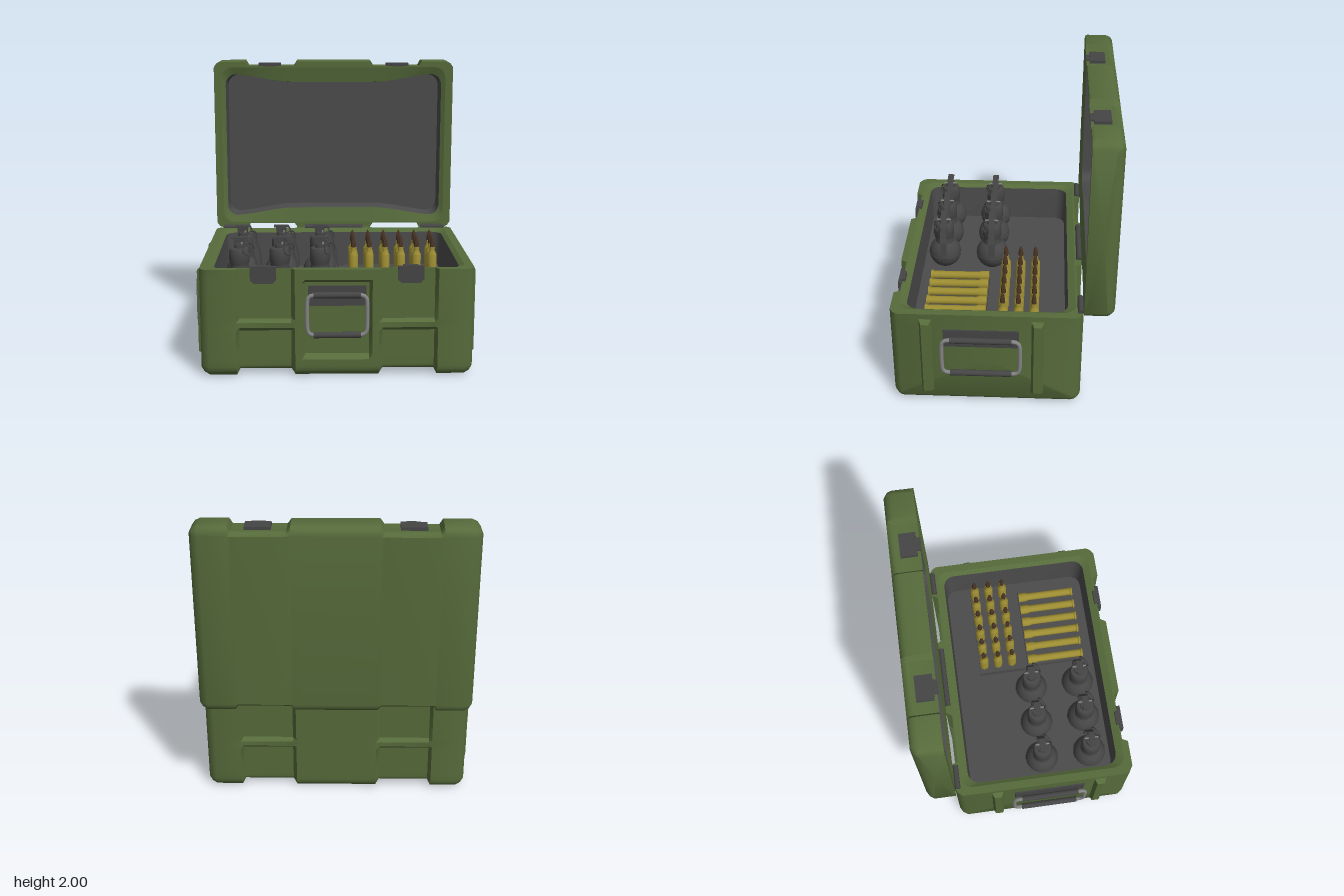
import * as THREE from 'three';
import { toCreasedNormals } from 'three/addons/utils/BufferGeometryUtils.js';

const mat = (color) => new THREE.MeshStandardMaterial({ color, side: THREE.DoubleSide });
const GREEN = mat(0x566b3b), LINER = mat(0x4b4b4c), DARK = mat(0x454546), STEEL = mat(0x858585);
const BRASS = mat(0x9c8c32), TIP = mat(0x4a3424);

const ramp = (v, a, b) => Math.min(1, Math.max(0, (v - a) / (b - a)));
const strip = (x) => ramp(Math.abs(x), 0.275, 0.3) * ramp(Math.abs(x), 0.66, 0.64);

function add(parent, name, geo, material, x = 0, y = 0, z = 0) {
  const m = new THREE.Mesh(geo, material);
  m.name = name;
  m.position.set(x, y, z);
  parent.add(m);
  return m;
}
const box = (w, h, d) => new THREE.BoxGeometry(w, h, d);
const lathe = (pts, n = 20) =>
  toCreasedNormals(new THREE.LatheGeometry(pts.map((p) => new THREE.Vector2(...p)), n), 0.6);

function buildGeo(verts, index) {
  const g = new THREE.BufferGeometry();
  g.setAttribute('position', new THREE.Float32BufferAttribute(verts.flat(), 3));
  g.setIndex(index);
  return toCreasedNormals(g, 0.6);
}

// Skin between rows of points
function loft(rows, closed) {
  const n = rows[0].length, index = [];
  for (let i = 0; i < rows.length - 1; i++) {
    for (let j = 0; j < (closed ? n : n - 1); j++) {
      const a = i * n + j, b = i * n + ((j + 1) % n), c = a + n, d = b + n;
      index.push(a, b, c, b, d, c);
    }
  }
  return { verts: rows.flat(), index, n };
}

// Rounded rectangle in plan, with points along the long sides so it can be waisted
function ring(hx, hz, r, y, waist = 0) {
  const pts = [];
  const put = (x, z) => {
    const t = ramp(Math.abs(x), 0.78, 0.3), s = t * t * (3 - 2 * t);
    pts.push([x, y, z - Math.sign(z) * waist * s]);
  };
  [[1, 1], [-1, 1], [-1, -1], [1, -1]].forEach(([sx, sz], k) => {
    for (let i = 0; i <= 5; i++) {
      const a = (k + i / 5) * Math.PI / 2;
      put(sx * (hx - r) + r * Math.cos(a), sz * (hz - r) + r * Math.sin(a));
    }
    if (k % 2 === 0) for (let i = 1; i < 16; i++) put(sx * (hx - r) * (1 - i / 8), sz * hz);
  });
  return pts;
}

const planShape = (pts, C = THREE.Shape) => new C(pts.map((p) => new THREE.Vector2(p[0], -p[2])));

// Open-topped moulded shell: U sections along x, inset by the recess rule
function shell(name, { h, hz, r, ys, recess, floor, waist }) {
  const g = new THREE.Group();
  g.name = name;
  const half = [0.21, 0.23, 0.275, 0.3, 0.64, 0.66, 0.84, 0.875, 0.895];
  const xs = [...half.map((x) => -x).reverse(), ...half];
  const base = ys.map((y) => [hz - r, y, 1, 0]);
  for (let i = 1; i <= 5; i++) {
    const a = i / 5 * Math.PI / 2;
    base.push([hz - r, r, Math.cos(a), -Math.sin(a)]);
  }
  const path = [...base, ...base.map(([z, y, nz, ny]) => [-z, y, -nz, ny]).reverse()];
  const rows = xs.map((x) => {
    const edge = 0.05 * ramp(Math.abs(x), 0.84, 0.895) ** 2;
    return path.map(([z, y, nz, ny]) => {
      const d = r - Math.max(edge, recess(x, y, nz));
      return [x, y + ny * d, z + nz * d];
    });
  });
  const { verts, index, n } = loft(rows, false);
  for (const [row, flip] of [[0, true], [xs.length - 1, false]]) {
    const c = verts.push([xs[row], h / 2, 0]) - 1;
    for (let j = 0; j < n; j++) {
      const a = row * n + j, b = row * n + (j + 1) % n;
      index.push(c, flip ? b : a, flip ? a : b);
    }
  }
  add(g, 'outerShell', buildGeo(verts, index), GREEN);

  // Flat rim, sloping lip and lined cavity
  const outline = [...rows.map((p) => p[0]), ...rows.map((p) => p[n - 1]).reverse()];
  const mid = ring(0.84, hz - 0.05, 0.08, h), lip = ring(0.81, hz - 0.1, 0.08, h - 0.02, waist);
  const bottom = ring(0.8, hz - 0.11, 0.08, floor, waist);
  const rim = planShape(outline);
  rim.holes.push(planShape(mid, THREE.Path));
  add(g, 'rim', new THREE.ShapeGeometry(rim).rotateX(-Math.PI / 2), GREEN, 0, h);
  const slope = loft([mid, lip], true), wall = loft([lip, bottom], true);
  add(g, 'lip', buildGeo(slope.verts, slope.index), GREEN);
  add(g, 'linerWall', buildGeo(wall.verts, wall.index), LINER);
  add(g, 'linerFloor', new THREE.ShapeGeometry(planShape(bottom)).rotateX(-Math.PI / 2), LINER, 0, floor);
  return g;
}

// Carry handle facing +z: steel loop, two grips, backing plate
function handle(name, hw, grip, reach) {
  const g = new THREE.Group();
  g.name = name;
  const hy = 0.135, c = 0.04;
  const pts = [];
  for (const [sx, sy, k] of [[1, 1, 0], [-1, 1, 1], [-1, -1, 2], [1, -1, 3]])
    for (let i = 0; i <= 4; i++) {
      const a = (k + i / 4) * Math.PI / 2;
      pts.push(new THREE.Vector3(sx * (hw - c) + c * Math.cos(a), sy * (hy - c) + c * Math.sin(a), reach));
    }
  const curve = new THREE.CatmullRomCurve3(pts, true, 'centripetal');
  add(g, 'loop', new THREE.TubeGeometry(curve, 64, 0.014, 8, true), STEEL);
  for (const s of [1, -1])
    add(g, 'grip', new THREE.CylinderGeometry(0.021, 0.021, grip, 12).rotateZ(Math.PI / 2), DARK, 0, s * hy, reach);
  add(g, 'plate', box(hw * 1.95, 0.135, 0.012), DARK, 0, 0.125, 0.004);
  return g;
}

function grenade() {
  const g = new THREE.Group();
  g.name = 'grenade';
  const prof = [];
  for (let i = 0; i <= 16; i++) {
    const a = -Math.PI / 2 + i / 16 * 2.52;
    prof.push([Math.max(0, 0.116 * Math.cos(a)), 0.566 + 0.116 * Math.sin(a)]);
  }
  add(g, 'body', lathe([...prof, [0.06, 0.7], [0.068, 0.72], [0.068, 0.79], [0.06, 0.81], [0.035, 0.815], [0.035, 0.84], [0, 0.84]], 24), DARK);
  add(g, 'seam', new THREE.TorusGeometry(0.115, 0.004, 6, 24).rotateX(Math.PI / 2), DARK, 0, 0.566);
  add(g, 'fuzeHead', box(0.07, 0.06, 0.036), DARK, 0, 0.85);
  // Bent safety lever
  const top = [[-0.05, 0.888], [0.05, 0.888], [0.085, 0.82], [0.122, 0.7], [0.13, 0.6]];
  const inner = top.map(([x, y], i) => [x - (i > 1 ? 0.01 : 0), y - (i < 2 ? 0.012 : 0.004)]).reverse();
  const s = new THREE.Shape([...top, ...inner].map((p) => new THREE.Vector2(...p)));
  add(g, 'lever', new THREE.ExtrudeGeometry(s, { depth: 0.044, bevelEnabled: false }), DARK, 0, 0, -0.022);
  add(g, 'pin', new THREE.CylinderGeometry(0.006, 0.006, 0.1, 8).rotateX(Math.PI / 2), STEEL, 0.02, 0.85);
  add(g, 'pullRing', new THREE.TorusGeometry(0.042, 0.005, 6, 20), DARK, 0.065, 0.815, 0.045).rotation.y = 0.6;
  return g;
}

export function createModel() {
  const root = new THREE.Group();
  root.name = 'ammunitionCase';

  // Lower case, with side channels split by a rib and a recessed front panel
  const body = shell('case', {
    h: 0.73, hz: 0.635, r: 0.07, floor: 0.45, waist: 0,
    ys: [0.73, 0.66, 0.635, 0.39, 0.37, 0.335, 0.31, 0.15, 0.12, 0.07],
    recess: (x, y, nz) => {
      const rib = Math.min(ramp(y, 0.31, 0.335), ramp(y, 0.39, 0.37));
      const panel = nz > 0.9 ? ramp(Math.abs(x), 0.23, 0.21) * Math.min(ramp(y, 0.12, 0.15), ramp(y, 0.66, 0.635)) : 0;
      return 0.04 * Math.max(strip(x) * (1 - 0.75 * rib), panel);
    },
  });
  body.position.z = 0.095;
  root.add(body);

  // Lid standing open behind
  const lid = shell('lid', {
    h: 0.2, hz: 0.64, r: 0.06, floor: 0.05, waist: 0.06, ys: [0.2, 0.185, 0.06],
    recess: (x, y, nz) => Math.max(0.04 * strip(x) * Math.abs(nz), y > 0.19 ? 0.008 : 0),
  });
  lid.rotation.x = Math.PI / 2;
  lid.position.set(0, 1.36, -0.74);
  root.add(lid);

  // Latches on the case front and lid edge
  for (const x of [-0.48, 0.48]) {
    const s = new THREE.Shape([[-0.085, 0.745], [-0.085, 0.655], [-0.06, 0.632], [0.06, 0.632], [0.085, 0.655], [0.085, 0.745]]
      .map((p) => new THREE.Vector2(...p)));
    add(root, 'latch', new THREE.ExtrudeGeometry(s, { depth: 0.025, bevelEnabled: false }), DARK, x, 0, 0.688);
    add(root, 'latchHook', box(0.1, 0.025, 0.035), DARK, x, 0.735, 0.685);
    add(root, 'lidLatch', box(0.165, 0.022, 0.11), DARK, x, 1.969, -0.615);
    add(root, 'lidLatchTab', box(0.09, 0.018, 0.03), DARK, x, 1.965, -0.548);
  }

  // Hinge barrels
  for (const [x, len] of [[-0.755, 0.17], [0, 0.44], [0.755, 0.17]])
    add(root, 'hinge', new THREE.CylinderGeometry(0.02, 0.02, len, 12).rotateZ(Math.PI / 2), DARK, x, 0.735, -0.522);

  // Handles and tapered side ribs
  const front = handle('frontHandle', 0.195, 0.31, 0.03);
  front.position.set(0, 0.42, 0.69);
  root.add(front);
  for (const side of [1, -1]) {
    const h = handle('sideHandle', 0.258, 0.41, 0.042);
    h.position.set(side * 0.895, 0.42, 0.13);
    h.rotation.y = side * Math.PI / 2;
    root.add(h);
    for (const z of [0.495, -0.245]) {
      const g = box(0.05, 0.62, 0.095), p = g.attributes.position;
      for (let i = 0; i < p.count; i++)
        if (p.getX(i) * side > 0) p.setXYZ(i, p.getX(i), p.getY(i) * 0.9, p.getZ(i) * 0.55);
      g.computeVertexNormals();
      add(root, 'sideRib', g, GREEN, side * 0.905, 0.39, z);
    }
  }

  // Grenades
  for (const x of [-0.65, -0.38, -0.11]) for (const z of [0.11, 0.46]) {
    const g = grenade();
    g.position.set(x, 0, z);
    root.add(g);
  }

  // Upright cartridges in their tray
  add(root, 'cartridgeTray', box(0.7, 0.06, 0.345), LINER, 0.42, 0.475, -0.08);
  const caseGeo = lathe([[0, 0], [0.033, 0], [0.033, 0.18], [0.019, 0.205], [0.019, 0.235], [0, 0.235]], 14);
  const tipGeo = lathe([[0.017, 0], [0.017, 0.025], [0.011, 0.06], [0, 0.085]], 12);
  for (let i = 0; i < 6; i++) for (const z of [-0.215, -0.11, -0.005]) {
    add(root, 'cartridgeCase', caseGeo, BRASS, 0.132 + i * 0.1135, 0.465, z);
    add(root, 'cartridgeTip', tipGeo, TIP, 0.132 + i * 0.1135, 0.698, z);
  }

  // Shells lying in the front tray
  add(root, 'shellTray', box(0.61, 0.04, 0.425), LINER, 0.4, 0.465, 0.33);
  const shellGeo = lathe([[0, 0], [0.034, 0], [0.034, 0.012], [0.028, 0.018], [0.028, 0.345], [0.035, 0.37], [0.035, 0.42], [0, 0.42]], 16)
    .rotateX(-Math.PI / 2);
  for (let i = 0; i < 6; i++) add(root, 'lyingShell', shellGeo, BRASS, 0.132 + i * 0.103, 0.515, 0.54);

  return root;
}
